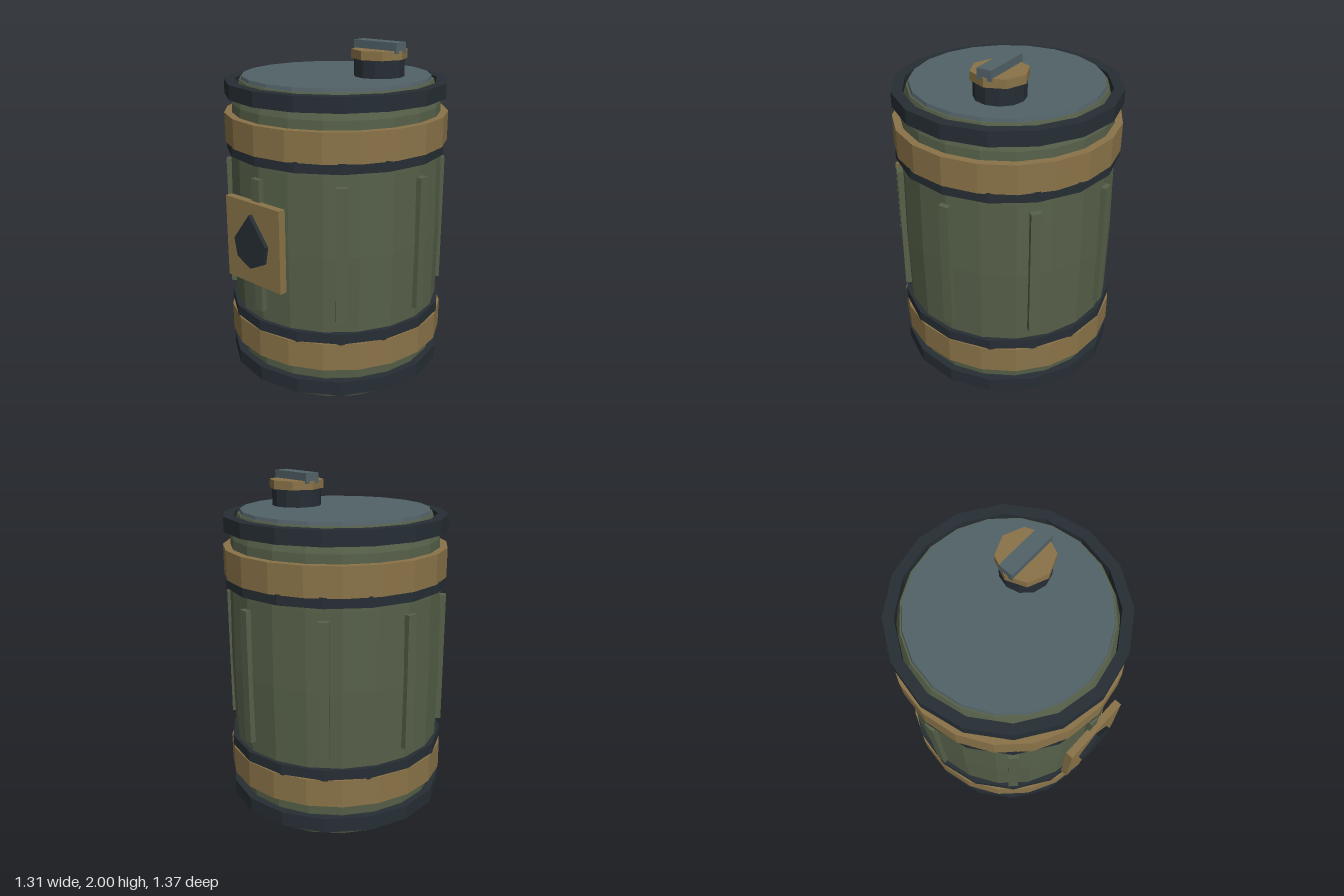
import * as THREE from 'three';

const mat = (color) => new THREE.MeshStandardMaterial({ color, flatShading: true });

export function createModel() {
  const model = new THREE.Group();
  const green = mat(0x566049), gold = mat(0x8a7348), dark = mat(0x262e34), steel = mat(0x526268);

  const add = (parent, name, geometry, material, x = 0, y = 0, z = 0) => {
    const mesh = new THREE.Mesh(geometry, material);
    mesh.name = name;
    mesh.position.set(x, y, z);
    parent.add(mesh);
    return mesh;
  };
  const lathe = (points, sides) =>
    new THREE.LatheGeometry(points.map(([r, y]) => new THREE.Vector2(r, y)), sides);
  const ring = (inner, outer, y0, y1, sides) =>
    lathe([[inner, y0], [outer, y0], [outer, y1], [inner, y1], [inner, y0]], sides);

  // Barrel axis sits slightly behind the origin because of the front plaque
  const barrel = new THREE.Group();
  barrel.name = 'barrel';
  barrel.position.z = -0.025;
  model.add(barrel);

  // Gently bulging body, closed at both ends
  add(barrel, 'body', lathe([
    [0, 0], [0.565, 0], [0.59, 0.07], [0.61, 0.15], [0.625, 0.45], [0.632, 0.9],
    [0.625, 1.35], [0.61, 1.65], [0.59, 1.71], [0.565, 1.785], [0, 1.785],
  ], 20), green);
  add(barrel, 'lid', new THREE.CylinderGeometry(0.55, 0.56, 0.04, 20), steel, 0, 1.785);

  // Dark rims and hoops
  for (const [name, y0, y1] of [
    ['bottomRim', 0.06, 0.145], ['lowerHoop', 0.385, 0.45],
    ['upperHoop', 1.375, 1.435], ['topRim', 1.695, 1.78],
  ]) add(barrel, name, ring(name.endsWith('Rim') ? 0.59 : 0.58, 0.652, y0, y1, 16), dark);

  // Wide gold bands
  add(barrel, 'lowerBand', ring(0.58, 0.656, 0.225, 0.39, 20), gold);
  add(barrel, 'upperBand', ring(0.58, 0.656, 1.43, 1.6, 20), gold);

  // Eight raised ribs around the body
  for (let i = 0; i < 8; i++) {
    const a = (i * Math.PI) / 4;
    const rib = add(barrel, 'rib', new THREE.BoxGeometry(0.06, 0.785, 0.055), green,
      Math.sin(a) * 0.6275, 0.91, Math.cos(a) * 0.6275);
    rib.rotation.y = a;
  }

  // Front plaque with a raised drop
  add(model, 'plaque', new THREE.BoxGeometry(0.43, 0.48, 0.045), gold, 0, 0.935, 0.6375);
  const drop = new THREE.Shape([
    [0, 1.11], [-0.127, 0.95], [-0.106, 0.845], [0, 0.795], [0.106, 0.845], [0.127, 0.95],
  ].map(([x, y]) => new THREE.Vector2(x, y)));
  add(model, 'drop', new THREE.ExtrudeGeometry(drop, { depth: 0.03, bevelEnabled: false }),
    dark, 0, 0, 0.654);

  // Filler neck, cap and grip
  const spout = new THREE.Group();
  spout.name = 'spout';
  spout.position.set(0.24, 0, -0.125);
  model.add(spout);
  add(spout, 'neck', new THREE.CylinderGeometry(0.145, 0.145, 0.13, 12), dark, 0, 1.845);
  add(spout, 'cap', new THREE.CylinderGeometry(0.16, 0.16, 0.05, 8), gold, 0, 1.93);
  add(spout, 'grip', new THREE.BoxGeometry(0.305, 0.06, 0.088), steel, 0, 1.97);

  return model;
}
